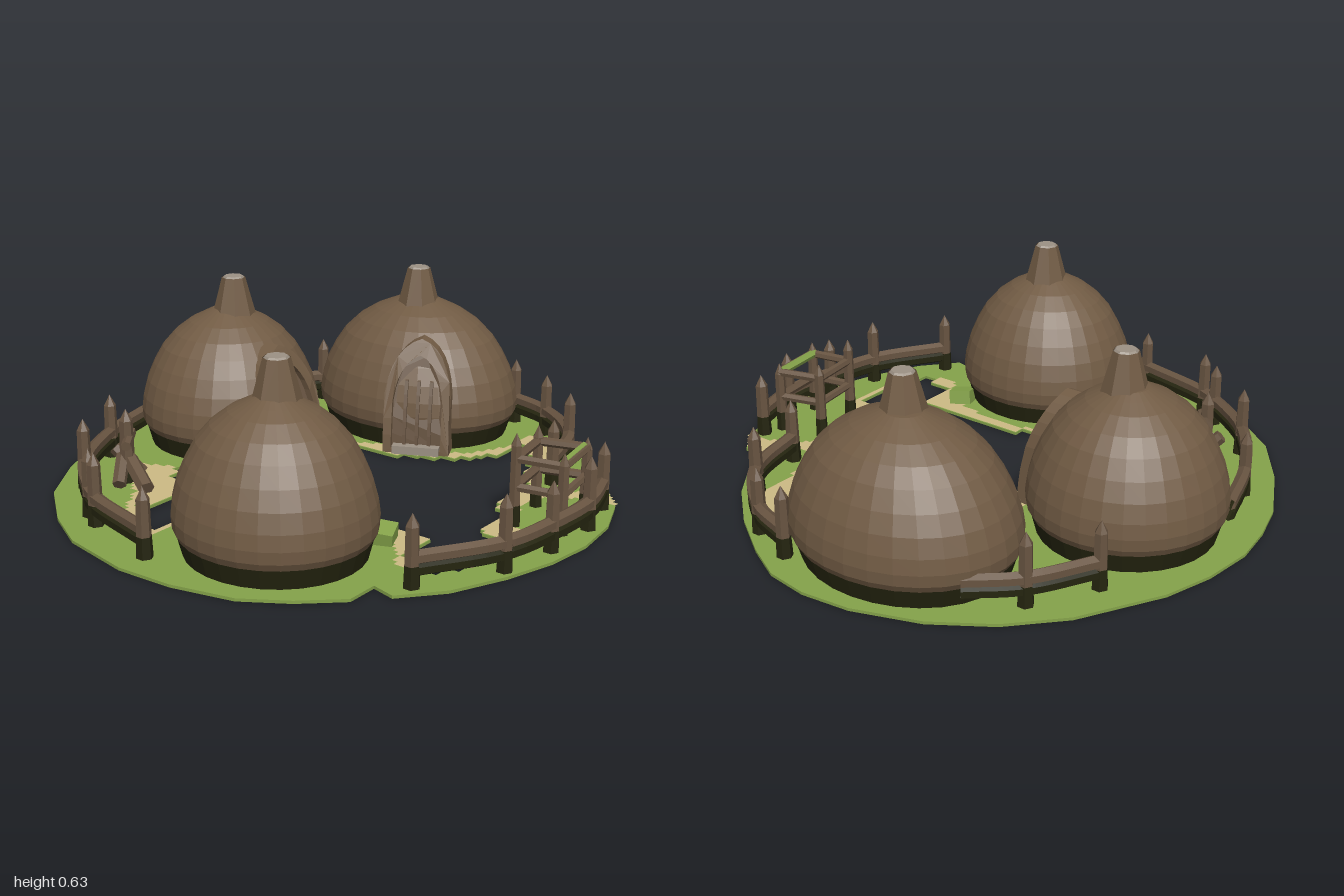
import * as THREE from 'three';

const mat = (name, color) => Object.assign(
  new THREE.MeshStandardMaterial({ color, flatShading: true, side: THREE.DoubleSide }), { name });

export function createModel() {
  const root = new THREE.Group();
  root.name = 'hutVillage';
  const clay = mat('clay brown', 0x715b44);
  const wood = mat('wood brown', 0x685441);
  const dark = mat('dark moss', 0x24240f);
  const grass = mat('grass green', 0x85a34a);
  const sand = mat('sand', 0xcdba85);
  const stone = mat('stone grey', 0x9c9184);

  const add = (parent, name, geo, material, x = 0, y = 0, z = 0) => {
    const m = new THREE.Mesh(geo, material);
    m.name = name;
    m.position.set(x, y, z);
    parent.add(m);
    return m;
  };
  const V = (x, y, z) => new THREE.Vector3(x, y, z);

  // name, centre x, z, radius x, z, vent offset x, z
  const huts = [
    ['leftHut', -0.615, 0.235, 0.307, 0.325, 0.015, 0],
    ['backHut', 0.075, -0.577, 0.325, 0.328, 0.007, 0.02],
    ['rightHut', 0.64, -0.13, 0.325, 0.395, -0.018, 0.01],
  ];

  // ---- Ground: a ring of grass round a stair-edged open plaza
  const rim = [[0, -0.97], [0.18, -0.95], [0.35, -0.9], [0.62, -0.75], [0.78, -0.6], [0.9, -0.42], [0.98, -0.2], [1, -0.03],
    [0.98, 0.12], [0.91, 0.26], [0.8, 0.43], [0.67, 0.58], [0.49, 0.72], [0.34, 0.73], [0.35, 0.76], [0.43, 0.76], [0.43, 0.81],
    [0.34, 0.88], [0.18, 0.94], [0, 0.96], [-0.17, 0.94], [-0.34, 0.89], [-0.52, 0.81], [-0.65, 0.7], [-0.63, 0.62], [-0.74, 0.62],
    [-0.85, 0.5], [-0.94, 0.36], [-0.99, 0.15], [-1, -0.05], [-0.95, -0.31], [-0.86, -0.48], [-0.72, -0.66], [-0.52, -0.8], [-0.3, -0.91], [-0.15, -0.95]];
  const plaza = [[-0.32, -0.5], [-0.28, -0.42], [-0.22, -0.32], [-0.08, -0.16], [0.28, -0.14], [0.28, 0.04], [0.34, 0.16], [0.38, 0.22],
    [0.5, 0.32], [0.66, 0.34], [0.66, 0.4],
    [0.5, 0.48], [0.34, 0.56], [0.12, 0.58], [0.08, 0.64], [-0.1, 0.66], [-0.12, 0.76], [-0.34, 0.76], [-0.46, 0.66], [-0.42, 0.56],
    [-0.26, 0.56], [-0.26, 0.12], [-0.32, -0.02], [-0.46, -0.16], [-0.76, -0.16], [-0.74, -0.24], [-0.64, -0.36], [-0.62, -0.32],
    [-0.5, -0.32], [-0.4, -0.38], [-0.38, -0.46]];
  const snap = v => Math.round(v * 50) / 50;
  const stepped = [];
  plaza.forEach(([x0, z0], i) => {
    const [x1, z1] = plaza[(i + 1) % plaza.length];
    const n = Math.max(1, Math.round(Math.min(Math.abs(x1 - x0), Math.abs(z1 - z0)) / 0.04));
    for (let k = 0; k < n; k++) {
      const nx = snap(x0 + (x1 - x0) * (k + 1) / n);
      stepped.push([nx, snap(z0 + (z1 - z0) * k / n)], [nx, snap(z0 + (z1 - z0) * (k + 1) / n)]);
    }
  });
  const hole = stepped.filter((p, i) => {
    const q = stepped[(i + 1) % stepped.length];
    return p[0] !== q[0] || p[1] !== q[1];
  });
  const vec2 = pts => pts.map(p => new THREE.Vector2(p[0], p[1]));
  const land = new THREE.Shape(vec2(rim));
  land.holes.push(new THREE.Path(vec2(hole)));
  for (const [, x, z, rx, rz] of huts) {
    land.holes.push(new THREE.Path().absellipse(x, z, rx * 0.88, rz * 0.88, 0, Math.PI * 2));
  }
  const landGeo = new THREE.ExtrudeGeometry(land, { depth: 0.01, bevelEnabled: false, curveSegments: 14 });
  landGeo.rotateX(Math.PI / 2);
  add(root, 'grassGround', landGeo, grass, 0, 0.01, 0);

  // ---- Sand border laid in small squares along the plaza
  const sandEdge = [[-0.38, -0.65], [-0.34, -0.6], [-0.3, -0.52], [-0.24, -0.41], [-0.15, -0.33], [0, -0.26], [0.16, -0.26], [0.2, -0.2],
    [0.29, -0.19], [0.33, -0.1], [0.37, 0.08], [0.46, 0.23], [0.58, 0.29], [0.77, 0.3], [0.74, 0.42], [0.62, 0.52], [0.48, 0.53], [0.36, 0.56],
    [0.31, 0.62], [0.34, 0.7], [0.43, 0.76], [0.43, 0.81], [0.35, 0.87], [0.34, 0.79], [0.27, 0.68], [0.2, 0.63], [0.08, 0.66],
    [-0.01, 0.7], [-0.04, 0.76], [-0.12, 0.78], [-0.35, 0.78], [-0.48, 0.66], [-0.47, 0.58], [-0.38, 0.52], [-0.32, 0.4], [-0.3, 0.28],
    [-0.31, 0.12], [-0.38, -0.03], [-0.5, -0.14], [-0.77, -0.15], [-0.76, -0.26], [-0.66, -0.38], [-0.58, -0.42], [-0.5, -0.5], [-0.43, -0.62]];
  const inside = (x, z, poly) => {
    let hit = false;
    poly.forEach(([ax, az], i) => {
      const [bx, bz] = poly[(i + 1) % poly.length];
      if ((az > z) !== (bz > z) && x < ax + (bx - ax) * (z - az) / (bz - az)) hit = !hit;
    });
    return hit;
  };
  const cells = [], s = 0.02;
  for (let i = -45; i < 45; i++) for (let j = -45; j < 45; j++) {
    const x = i * s, z = j * s;
    if (!inside(x + 0.0101, z + 0.0099, sandEdge) || inside(x + 0.0101, z + 0.0099, hole)) continue;
    cells.push(x, 0, z, x, 0, z + s, x + s, 0, z + s, x, 0, z, x + s, 0, z + s, x + s, 0, z);
  }
  const sandGeo = new THREE.BufferGeometry();
  sandGeo.setAttribute('position', new THREE.Float32BufferAttribute(cells, 3));
  sandGeo.computeVertexNormals();
  add(root, 'sandBorder', sandGeo, sand, 0, 0.013, 0);

  // ---- Huts: rounded dome, dark skirt and tapered smoke vent
  const dome = [[0.95, 0.075], [0.99, 0.1], [1, 0.14], [0.98, 0.19], [0.93, 0.25], [0.85, 0.31], [0.745, 0.37], [0.61, 0.42],
    [0.44, 0.462], [0.29, 0.487], [0.18, 0.505], [0.05, 0.51]];
  for (const [name, x, z, rx, rz, vx, vz] of huts) {
    const g = new THREE.Group();
    g.name = name;
    g.position.set(x, 0, z);
    root.add(g);
    add(g, 'dome', new THREE.LatheGeometry(vec2(dome), 30), clay).scale.set(rx, 1, rz);
    add(g, 'skirt', new THREE.LatheGeometry(vec2([[0.9, 0.012], [0.955, 0.08]]), 30), dark).scale.set(rx, 1, rz);
    add(g, 'smokeVent', new THREE.CylinderGeometry(0.042, 0.085, 0.16, 8, 1, true), clay, vx, 0.54, vz);
    add(g, 'ventCap', new THREE.CylinderGeometry(0.034, 0.042, 0.01, 8), stone, vx, 0.62, vz);
  }

  // ---- Arched doorways standing just proud of the domes and bending back with them
  const arch = (Path, w, h, bottom) => {
    const p = new Path();
    p.moveTo(-w, bottom);
    for (const y of [0.08, 0.14]) p.lineTo(-w, y);
    p.lineTo(-w, h * 0.55);
    p.quadraticCurveTo(-w * 0.85, h * 0.93, 0, h);
    p.quadraticCurveTo(w * 0.85, h * 0.93, w, h * 0.55);
    for (const y of [0.14, 0.08]) p.lineTo(w, y);
    p.lineTo(w, bottom);
    p.closePath();
    return p;
  };
  const bend = geo => {
    const p = geo.attributes.position;
    for (let i = 0; i < p.count; i++) p.setZ(i, p.getZ(i) - 0.65 * p.getY(i) ** 2);
    geo.computeVertexNormals();
    return geo;
  };
  for (const [x, z, turn] of [[0.045, -0.249, 0], [0.365, 0.066, Math.atan2(-0.9, 0.43)]]) {
    const g = new THREE.Group();
    g.name = 'doorway';
    g.position.set(x, 0, z);
    g.rotation.y = turn;
    root.add(g);
    const hood = arch(THREE.Shape, 0.12, 0.415, 0.015);
    hood.holes.push(arch(THREE.Path, 0.09, 0.36, 0.03));
    add(g, 'hood', bend(new THREE.ExtrudeGeometry(hood, { depth: 0.13, bevelEnabled: false, curveSegments: 6 })), clay, 0, 0, -0.085);
    add(g, 'doorPanel', bend(new THREE.ShapeGeometry(arch(THREE.Shape, 0.092, 0.365, 0.02), 6)), wood, 0, 0, 0.02);
    for (const px of [-0.045, 0, 0.045]) {
      add(g, 'doorPlank', bend(new THREE.BoxGeometry(0.012, 0.24, 0.012, 1, 5).translate(0, 0.15, 0)), wood, px, 0, 0.024);
    }
    add(g, 'threshold', new THREE.BoxGeometry(0.17, 0.03, 0.045), stone, 0, 0.028, 0.03);
  }

  // ---- Pointed posts and beams
  const post = (parent, x, z, h, r = 0.024) => {
    add(parent, 'postFoot', new THREE.CylinderGeometry(r, r * 1.15, 0.08, 6), dark, x, 0.04, z);
    add(parent, 'post', new THREE.CylinderGeometry(r * 0.9, r, h - 0.12, 6), wood, x, 0.08 + (h - 0.12) / 2, z);
    add(parent, 'postTip', new THREE.ConeGeometry(r * 0.9, 0.04, 6), wood, x, h - 0.02, z);
  };
  const beam = (parent, name, a, b, r, material = wood) => {
    const m = add(parent, name, new THREE.CylinderGeometry(r, r, a.distanceTo(b), 6), material);
    m.position.copy(a).lerp(b, 0.5);
    m.quaternion.setFromUnitVectors(V(0, 1, 0), b.clone().sub(a).normalize());
  };

  // ---- Curved fences; the last number is how many points carry posts
  const fences = [
    [[[-0.9, -0.04], [-0.82, -0.34], [-0.78, -0.41], [-0.62, -0.61], [-0.35, -0.77], [-0.1, -0.85]], 5],
    [[[0.44, -0.72], [0.65, -0.6], [0.78, -0.46]], 2],
    [[[0.39, 0.61], [0.64, 0.53], [0.82, 0.33], [0.88, 0.16]], 4],
    [[[0.3, 0.85], [0.12, 0.9], [-0.1, 0.895], [-0.31, 0.86], [-0.57, 0.71]], 5],
  ];
  for (const [pts, count] of fences) {
    const g = new THREE.Group();
    g.name = 'fence';
    root.add(g);
    const curve = y => new THREE.CatmullRomCurve3(pts.map(([x, z]) => V(x, y, z)));
    add(g, 'rail', new THREE.TubeGeometry(curve(0.102), 20, 0.023, 6), wood);
    add(g, 'lowerRail', new THREE.TubeGeometry(curve(0.064), 20, 0.022, 6), dark);
    pts.slice(0, count).forEach(([x, z], i) => post(g, x, z, 0.24 + (i % 2) * 0.015));
  }

  // ---- Square timber frame by the entrance, with moss behind its front top beam
  const frame = new THREE.Group();
  frame.name = 'timberFrame';
  root.add(frame);
  const corners = [[0, 0.7], [0.185, 0.67], [0.23, 0.825], [0.03, 0.855]];
  corners.forEach(([x, z], i) => {
    post(frame, x, z, [0.32, 0.29, 0.27, 0.28][i], 0.02);
    const [bx, bz] = corners[(i + 1) % 4];
    for (const y of [0.14, 0.235]) beam(frame, 'crossBeam', V(x, y, z), V(bx, y, bz), 0.015);
  });
  beam(frame, 'mossStrip', V(0.227, 0.238, 0.817), V(0.028, 0.238, 0.847), 0.015, grass);

  // ---- Post with crossbar and a log heap
  const heap = new THREE.Group();
  heap.name = 'logHeap';
  root.add(heap);
  post(heap, -0.49, -0.54, 0.27, 0.026);
  beam(heap, 'crossbar', V(-0.54, 0.16, -0.49), V(-0.44, 0.17, -0.57), 0.018);
  beam(heap, 'log', V(-0.54, 0.03, -0.4), V(-0.48, 0.09, -0.54), 0.028);
  beam(heap, 'log', V(-0.57, 0.03, -0.5), V(-0.49, 0.1, -0.56), 0.024);
  beam(heap, 'log', V(-0.44, 0.03, -0.52), V(-0.49, 0.12, -0.6), 0.024);

  // ---- Small blocks beside the huts
  add(root, 'mossyBlock', new THREE.BoxGeometry(0.08, 0.05, 0.08), grass, -0.36, 0.035, 0.45).rotation.set(0.1, 0.4, 0.15);
  add(root, 'smallRock', new THREE.DodecahedronGeometry(0.03), wood, 0.22, 0.035, -0.23);
  return root;
}
